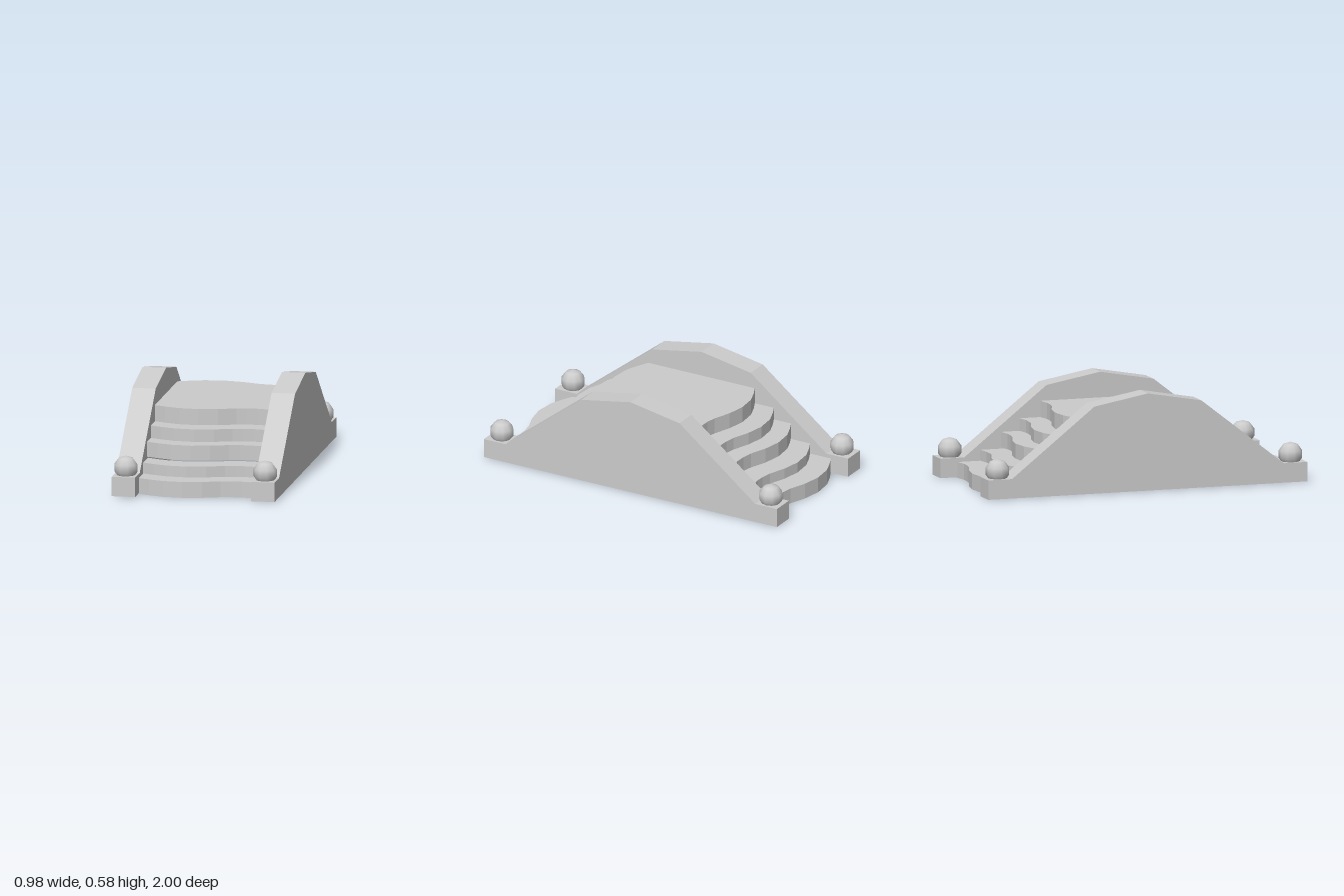
import * as THREE from 'three';

const material = new THREE.MeshStandardMaterial({ color: 0xcccccc, flatShading: true });
const smooth = new THREE.MeshStandardMaterial({ color: 0xcccccc });

// Wavy step edge: x and how far it bulges outward
const WAVE = [
  [-0.365, -0.005], [-0.28, 0.035], [-0.195, 0.066], [-0.075, 0.076], [0.04, 0.054],
  [0.145, 0.015], [0.21, 0.004], [0.27, 0.002], [0.38, 0.02],
];
const edge = (base, side) => WAVE.map(([x, bulge]) => new THREE.Vector2(x, -side * (base + bulge)));

// Flat slab between two wavy edges, from y0 up to y1
function slab(name, edgeA, edgeB, y0, y1) {
  const shape = new THREE.Shape([...edgeA, ...edgeB.reverse()]);
  const geometry = new THREE.ExtrudeGeometry(shape, { depth: y1 - y0, bevelEnabled: false });
  geometry.rotateX(-Math.PI / 2);
  geometry.translate(0, y0, 0);
  const mesh = new THREE.Mesh(geometry, material);
  mesh.name = name;
  return mesh;
}

export function createModel() {
  const model = new THREE.Group();
  model.name = 'footbridge';

  // Steps on both ends: outer edge, bottom, top
  const steps = [
    [0.878, 0, 0.095], [0.737, 0.095, 0.16], [0.607, 0.17, 0.26], [0.49, 0.26, 0.335],
  ];
  for (const side of [1, -1]) {
    const flight = new THREE.Group();
    flight.name = side > 0 ? 'frontSteps' : 'backSteps';
    steps.forEach(([z, y0, y1], i) => {
      flight.add(slab(`step${i + 1}`, edge(z, side), edge(z - 0.15, side), y0, y1));
    });
    model.add(flight);
  }

  // Deck across the middle
  model.add(slab('deck', edge(0.36, 1), edge(0.36, -1), 0.335, 0.432));

  // Side walls with an angular arch, and a ball on each end
  const half = [[1, 0.004], [1, 0.12], [0.852, 0.12], [0.335, 0.525]];
  const outline = [
    ...half, [0, 0.585], ...half.map(([z, y]) => [-z, y]).reverse(),
  ].map(([z, y]) => new THREE.Vector2(z, y));
  const wallWidth = 0.141;
  for (const side of [1, -1]) {
    const geometry = new THREE.ExtrudeGeometry(new THREE.Shape(outline), { depth: wallWidth, bevelEnabled: false });
    geometry.translate(0, 0, -wallWidth / 2);
    geometry.rotateY(-Math.PI / 2);
    const wall = new THREE.Mesh(geometry, material);
    wall.name = side > 0 ? 'leftWall' : 'rightWall';
    wall.position.x = side * 0.418;
    model.add(wall);

    for (const end of [1, -1]) {
      const ball = new THREE.Mesh(new THREE.SphereGeometry(0.073, 10, 5), smooth);
      ball.name = `${end > 0 ? 'front' : 'back'}${side > 0 ? 'Left' : 'Right'}Ball`;
      ball.position.set(side * 0.418, 0.162, end * 0.918);
      model.add(ball);
    }
  }
  return model;
}
